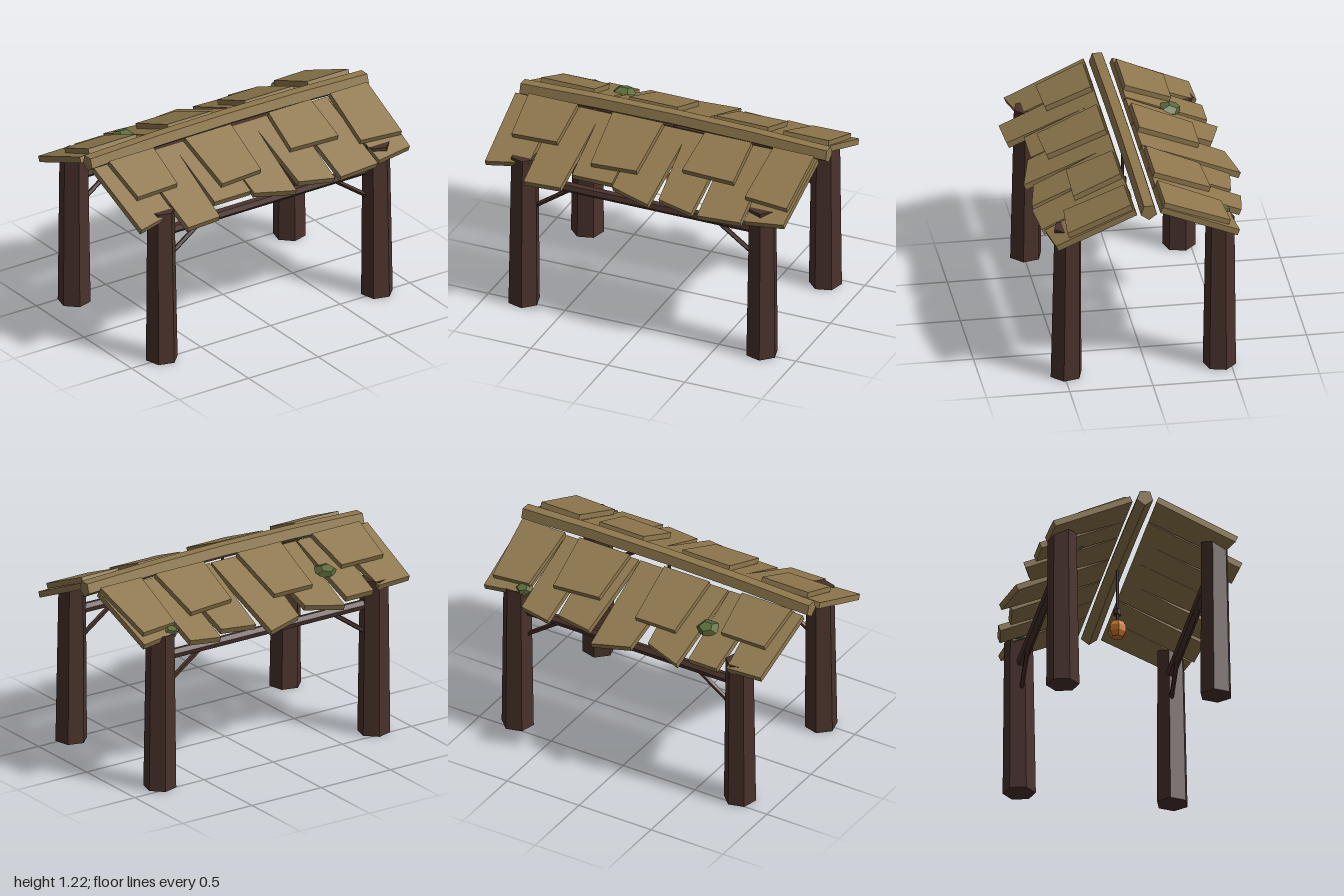
import * as THREE from 'three';

function mat(name, color) {
  const m = new THREE.MeshStandardMaterial({ color, flatShading: true });
  m.name = name;
  return m;
}

export function createModel() {
  const group = new THREE.Group();
  const plankWood = mat('plank wood', 0x8f784d);
  const darkWood = mat('dark wood', 0x4a322c);
  const glow = mat('lantern orange', 0xd07a2c);
  const mossGreen = mat('moss green', 0x5a6b3a);

  function add(name, geometry, material, x = 0, y = 0, z = 0) {
    const mesh = new THREE.Mesh(geometry, material);
    mesh.name = name;
    mesh.position.set(x, y, z);
    group.add(mesh);
    return mesh;
  }

  // Round timber between two points
  function pole(name, a, b, r, sides, turn = 0) {
    const p = new THREE.Vector3(...a), q = new THREE.Vector3(...b);
    const dir = q.clone().sub(p);
    const geo = new THREE.CylinderGeometry(r, r, dir.length(), sides).rotateY(turn);
    const mesh = add(name, geo, darkWood);
    mesh.position.copy(p).add(q).multiplyScalar(0.5);
    mesh.quaternion.setFromUnitVectors(new THREE.Vector3(0, 1, 0), dir.normalize());
  }

  // Skewed board lying on a roof slope; side is +1 front, -1 back
  // row: ridge x0, x1, eave x0, x1, eave distance at x0, x1
  function board(name, side, row, slope, thick) {
    const [u0, u1, l0, l1, d0, d1] = row;
    const { start, y, tan } = slope;
    const n = new THREE.Vector3(0, 1, side * tan).normalize();
    const geo = new THREE.BoxGeometry(1, 1, 1);
    const pos = geo.attributes.position;
    for (let i = 0; i < pos.count; i++) {
      const right = pos.getX(i) > 0, outer = pos.getZ(i) * side > 0;
      const d = outer ? (right ? d1 : d0) : start;
      const x = outer ? (right ? l1 : l0) : (right ? u1 : u0);
      const drop = pos.getY(i) < 0 ? thick : 0;
      pos.setXYZ(i, x, y - tan * (d - start) - n.y * drop, side * d - n.z * drop);
    }
    geo.computeVertexNormals();
    add(name, geo, plankWood);
  }

  // Corner posts: tapered six-sided trunks
  for (const sx of [-1, 1]) {
    for (const [z, lean] of [[0.487, -0.01], [-0.434, -0.004]]) {
      const geo = new THREE.CylinderGeometry(0.086, 0.099, 0.985, 6, 1);
      geo.rotateY(z > 0 ? 0.25 : -0.25).translate(0, 0.4925, 0);
      const pos = geo.attributes.position;
      for (let i = 0; i < pos.count; i++) {
        if (pos.getY(i) > 0.5) pos.setZ(i, pos.getZ(i) + lean);
      }
      add('post', geo, darkWood, sx * 0.773, 0, z);
    }
  }

  // Tie beams and diagonal braces, front and back
  for (const z of [0.468, -0.432]) {
    pole('tieBeam', [-0.74, 0.826, z], [0.74, 0.826, z], 0.031, 6, 0.2);
    for (const s of [-1, 1]) {
      pole('brace', [s * 0.72, 0.645, z], [s * 0.48, 0.815, z], 0.015, 5);
    }
  }

  // Roof planks
  const frontPlanks = [
    [-1.0, -0.72, -0.985, -0.72, 0.585, 0.535],
    [-0.71, -0.435, -0.70, -0.465, 0.66, 0.65],
    [-0.44, -0.165, -0.435, -0.175, 0.55, 0.55],
    [-0.165, 0.13, -0.165, 0.095, 0.57, 0.635],
    [0.12, 0.39, 0.145, 0.375, 0.585, 0.63],
    [0.40, 0.67, 0.415, 0.69, 0.635, 0.62],
    [0.67, 0.965, 0.71, 0.95, 0.605, 0.575],
  ];
  const backPlanks = [
    [-0.985, -0.70, -0.97, -0.74, 0.525, 0.535],
    [-0.70, -0.475, -0.685, -0.49, 0.56, 0.56],
    [-0.465, -0.165, -0.44, -0.20, 0.615, 0.545],
    [-0.155, 0.145, -0.115, 0.125, 0.605, 0.665],
    [0.155, 0.435, 0.185, 0.415, 0.59, 0.56],
    [0.44, 0.66, 0.455, 0.655, 0.615, 0.585],
    [0.665, 0.96, 0.69, 0.95, 0.495, 0.53],
  ];
  const frontSlope = { start: 0.105, y: 1.165, tan: 0.45 };
  const backSlope = { start: 0.065, y: 1.165, tan: 0.41 };
  frontPlanks.forEach((r) => board('frontPlank', 1, r, frontSlope, 0.038));
  backPlanks.forEach((r) => board('backPlank', -1, r, backSlope, 0.038));

  // Shorter shingles overlapping the planks
  const frontShingles = [
    [-0.905, -0.585, -0.89, -0.60, 0.41, 0.40],
    [-0.36, -0.03, -0.34, -0.05, 0.49, 0.475],
    [0.24, 0.545, 0.215, 0.55, 0.40, 0.41],
    [0.685, 0.95, 0.66, 0.94, 0.485, 0.505],
  ];
  const backShingles = [
    [-0.915, -0.57, -0.895, -0.595, 0.36, 0.36],
    [-0.345, -0.03, -0.325, -0.05, 0.445, 0.445],
    [0.21, 0.56, 0.23, 0.535, 0.40, 0.42],
    [0.66, 0.955, 0.68, 0.92, 0.46, 0.48],
  ];
  const frontTop = { start: 0.125, y: 1.193, tan: 0.435 };
  const backTop = { start: 0.08, y: 1.193, tan: 0.41 };
  frontShingles.forEach((r) => board('frontShingle', 1, r, frontTop, 0.034));
  backShingles.forEach((r) => board('backShingle', -1, r, backTop, 0.034));

  // Five-sided ridge beam, gently bowed
  const ridge = new THREE.CylinderGeometry(0.051, 0.051, 1.99, 5, 4);
  ridge.rotateY(-Math.PI / 2).rotateZ(Math.PI / 2);
  const rp = ridge.attributes.position;
  for (let i = 0; i < rp.count; i++) rp.setY(i, rp.getY(i) - 0.022 * rp.getX(i) ** 2);
  add('ridgeBeam', ridge, plankWood, 0.005, 1.183, 0.024);

  // Hanging lantern
  const lz = 0.025;
  pole('lanternRod', [0, 0.79, lz], [0, 1.16, lz], 0.009, 6);
  add('lanternCap', new THREE.CylinderGeometry(0.025, 0.025, 0.034, 6).rotateY(Math.PI / 6),
    darkWood, 0, 0.863, lz);
  const profile = [[0, 0], [0.037, 0], [0.055, 0.032], [0.055, 0.068], [0.037, 0.1], [0, 0.1]]
    .map(([x, y]) => new THREE.Vector2(x, y));
  add('lantern', new THREE.LatheGeometry(profile, 6).rotateY(Math.PI / 6), glow, 0, 0.70, lz);

  // Moss clumps
  for (const [x, y, z, r, h] of [
    [-0.49, 1.055, -0.33, 0.072, 0.04],
    [0.715, 0.99, -0.455, 0.055, 0.03],
    [0.385, 1.066, 0.355, 0.03, 0.025],
    [-0.773, 0.012, 0.487, 0.05, 0.0125],
  ]) {
    const moss = add('moss', new THREE.DodecahedronGeometry(1), mossGreen, x, y, z);
    moss.scale.set(r, h, r);
  }
  return group;
}
